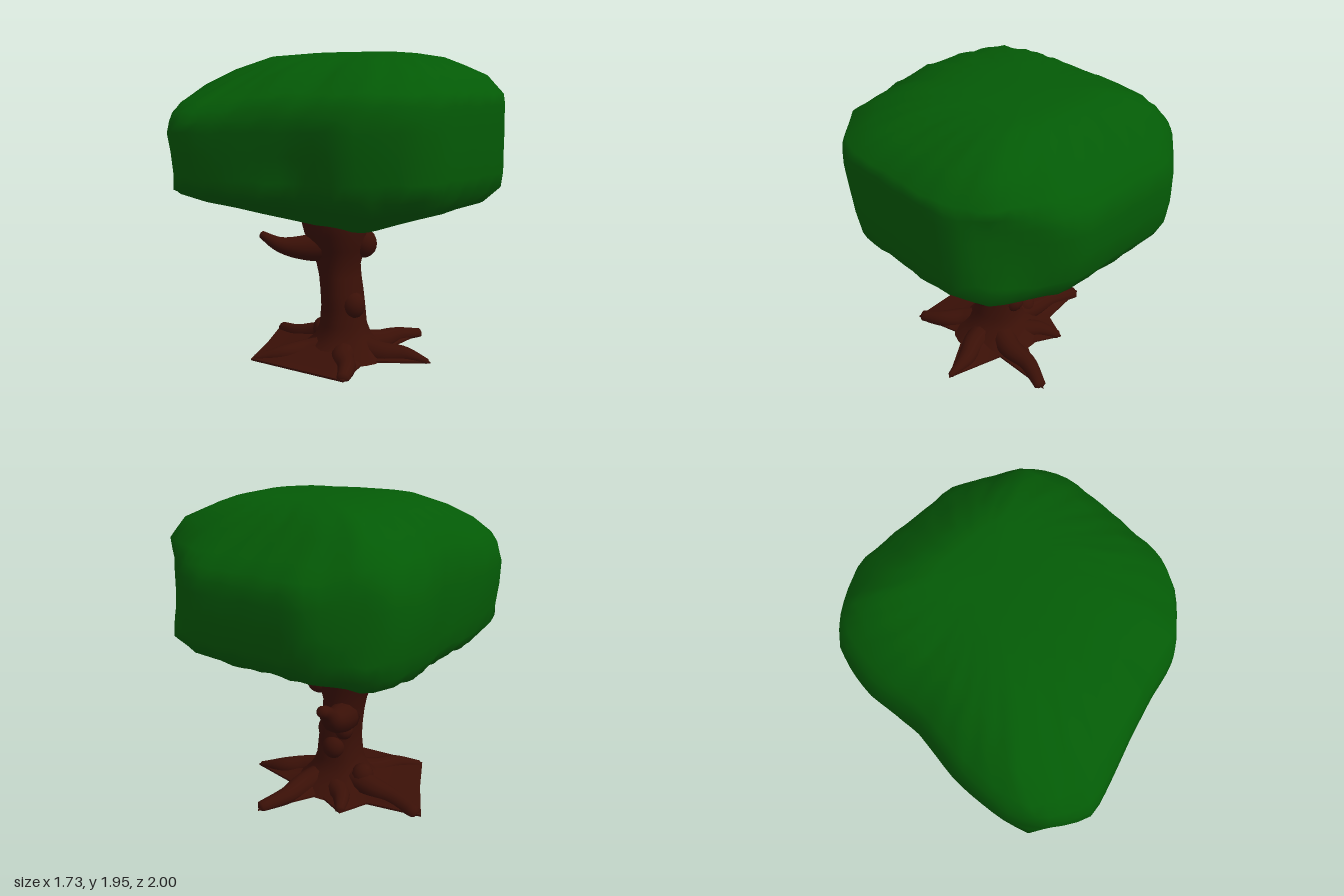
import * as THREE from 'three';
import { toCreasedNormals } from 'three/addons/utils/BufferGeometryUtils.js';

const V = (x, y, z) => new THREE.Vector3(x, y, z);
const { mapLinear, smoothstep, lerp } = THREE.MathUtils;
const leaf = new THREE.MeshStandardMaterial({ color: 0x045a06 });
const bark = new THREE.MeshStandardMaterial({ color: 0x3a1007 });

// Skin a stack of closed rings and close both ends
function loft(rings, crease) {
  const n = rings[0].length, m = rings.length, pts = rings.flat(), idx = [];
  for (let i = 0; i < m - 1; i++) {
    for (let j = 0; j < n; j++) {
      const k = (j + 1) % n, a = i * n + j, b = i * n + k;
      idx.push(a, a + n, b, b, a + n, b + n);
    }
  }
  const centre = ring => ring.reduce((s, p) => s.add(p), V(0, 0, 0)).divideScalar(n);
  const lo = pts.push(centre(rings[0])) - 1, hi = pts.push(centre(rings[m - 1])) - 1;
  for (let j = 0; j < n; j++) {
    const k = (j + 1) % n;
    idx.push(lo, j, k, hi, (m - 1) * n + k, (m - 1) * n + j);
  }
  const g = new THREE.BufferGeometry().setFromPoints(pts);
  g.setIndex(idx);
  g.computeVertexNormals();
  return crease ? toCreasedNormals(g, crease) : g;
}

// Tapering limb along a curve; anything below ground is flattened to it
function limb(points, radii, steps = 14, sides = 12) {
  const curve = new THREE.CatmullRomCurve3(points), rings = [];
  const radius = t => {
    const f = t * (radii.length - 1), i = Math.min(Math.floor(f), radii.length - 2);
    return lerp(radii[i], radii[i + 1], f - i);
  };
  for (let i = 0; i <= steps + 1; i++) {
    const t = Math.min(i / steps, 1), r = radius(t) * (i > steps ? 0.5 : 1);
    const T = curve.getTangent(t), c = curve.getPoint(t);
    if (i > steps) c.addScaledVector(T, r * 0.6);
    const u = V(0, 1, 0).cross(T).normalize(), v = u.clone().cross(T);
    rings.push(Array.from({ length: sides }, (_, j) => {
      const a = j / sides * Math.PI * 2;
      const p = c.clone().addScaledVector(u, r * Math.cos(a)).addScaledVector(v, r * Math.sin(a));
      p.y = Math.max(p.y, 0);
      return p;
    }));
  }
  return loft(rings);
}

// Crown: one plan outline fitted into a box at each height
function crownGeometry() {
  const plan = [[-0.47, -0.98], [-0.3, -1], [0, -1], [0.28, -1], [0.42, -0.94], [0.58, -0.8], [0.8, -0.6], [0.85, -0.4],
    [0.86, 0], [0.86, 0.25], [0.77, 0.46], [0.5, 0.7], [0.25, 0.77], [0, 0.85], [-0.45, 1], [-0.68, 0.88],
    [-0.81, 0.67], [-0.85, 0.35], [-0.82, -0.05], [-0.87, -0.4], [-0.81, -0.72]];
  const outline = new THREE.CatmullRomCurve3(plan.map(([x, z]) => V(x, 0, z)), true, 'catmullrom', 0.3)
    .getSpacedPoints(80).slice(0, 80);
  // y, xMin, xMax, zMin, zMax
  const levels = [[0.83, 0, 0.2, -0.15, 0.1], [0.865, -0.14, 0.3, -0.3, 0.2], [0.9, -0.3, 0.41, -0.45, 0.3],
    [0.96, -0.57, 0.58, -0.64, 0.46], [1.02, -0.78, 0.74, -0.8, 0.66], [1.1, -0.83, 0.83, -0.93, 0.9],
    [1.2, -0.85, 0.845, -0.985, 0.94], [1.34, -0.87, 0.855, -1, 0.97], [1.48, -0.865, 0.86, -1, 1],
    [1.55, -0.85, 0.86, -0.99, 0.99], [1.62, -0.83, 0.86, -0.965, 0.96], [1.69, -0.785, 0.85, -0.89, 0.87],
    [1.8, -0.68, 0.71, -0.77, 0.66], [1.87, -0.56, 0.57, -0.67, 0.5],
    [1.92, -0.42, 0.45, -0.58, 0.3], [1.945, -0.26, 0.29, -0.48, 0.05]];
  const rings = levels.map(([y, x0, x1, z0, z1], i) => outline.map((p, j) => {
    const u = mapLinear(p.x, -0.87, 0.86, -1, 1), w = p.z;
    // corners get squarer towards the top and the underside, least at the cut front left corner
    const cut = smoothstep(Math.min(u, w), 0, 0.3);
    const square = 0.55 * smoothstep(y, 1.55, 1.82) * (1 - 0.7 * cut)
      + 0.45 * (1 - smoothstep(y, 0.98, lerp(1.32, 1.1, cut)));
    const s = 1 + (1 / Math.max(Math.abs(u), Math.abs(w)) - 1) * square;
    const x = mapLinear(u * s, -1, 1, x0, x1);
    const z = mapLinear(w * s, -1, 1, z0, z1);
    // the front right corner sags, and the rim is slightly uneven
    const sag = Math.max(0, (z - x) * 0.707 - 0.45) * Math.max(0, y - 1.42) * 0.33;
    const bump = i > 2 && i < 14 ? 0.01 * Math.sin(j * 1.7 + i * 2.3) * Math.sin(j * 0.6 - i) : 0;
    return V(x, y - sag + bump, z);
  }));
  return loft(rings);
}

// Trunk: elliptical sections
function trunkGeometry() {
  // y, xMin, xMax, zMin, zMax
  const levels = [[0, -0.36, 0.28, -0.32, 0.3], [0.06, -0.29, 0.225, -0.26, 0.23], [0.12, -0.22, 0.16, -0.19, 0.17],
    [0.2, -0.185, 0.125, -0.165, 0.145], [0.32, -0.17, 0.11, -0.16, 0.14], [0.42, -0.175, 0.095, -0.16, 0.14],
    [0.52, -0.19, 0.075, -0.16, 0.135], [0.6, -0.205, 0.07, -0.16, 0.145], [0.7, -0.24, 0.1, -0.175, 0.17],
    [0.8, -0.28, 0.125, -0.2, 0.215], [0.88, -0.3, 0.13, -0.22, 0.235], [0.96, -0.3, 0.13, -0.22, 0.235]];
  return loft(levels.map(([y, x0, x1, z0, z1], i) => Array.from({ length: 28 }, (_, j) => {
    const a = j / 28 * Math.PI * 2, w = 1 + 0.02 * Math.sin(a * 5 + i * 0.4);
    return V((x0 + x1) / 2 + (x1 - x0) / 2 * w * Math.cos(a), y, (z0 + z1) / 2 + (z1 - z0) / 2 * w * Math.sin(a));
  })), 1.1);
}

// Foot: low star-shaped skirt webbing the roots together
function footGeometry() {
  const star = [[0.16, -0.65], [0.17, -0.25], [0.55, -0.16], [0.21, 0.08], [0.32, 0.44], [-0.03, 0.465],
    [-0.39, 0.49], [-0.54, 0.18], [-0.72, -0.14], [-0.36, -0.2], [-0.28, -0.39], [-0.05, -0.28]];
  const edge = star.flatMap(([x, z], i) => {
    const [nx, nz] = star[(i + 1) % star.length];
    return [0, 1, 2].map(k => V(x + (nx - x) * k / 3, 0, z + (nz - z) * k / 3));
  });
  const rings = [[1, 0], [1, 0.012], [0.75, 0.035], [0.5, 0.065], [0.3, 0.1]].map(([s, y]) =>
    edge.map(p => V(p.x * s, y, p.z * s)));
  return loft(rings, 0.7);
}

export function createModel() {
  const tree = new THREE.Group();
  tree.name = 'tree';
  const add = (name, geometry, material = bark) => {
    const mesh = new THREE.Mesh(geometry, material);
    mesh.name = name;
    tree.add(mesh);
    return mesh;
  };

  add('crown', crownGeometry(), leaf);
  add('trunk', trunkGeometry());
  add('foot', footGeometry());

  // Roots: tip x, tip z, thickness at the tip, height near the trunk
  [[0.16, -0.62, 0.04, 0.045], [0.53, -0.155, 0.018, 0.04], [0.3, 0.42, 0.04, 0.035],
    [-0.38, 0.465, 0.022, 0.035], [-0.68, -0.14, 0.045, 0.08], [-0.27, -0.37, 0.03, 0.04]].forEach(([x, z, r, h]) => {
    const at = (s, y, bend = 0) => V(x * s - z * bend, y, z * s + x * bend);
    add('root', limb([at(0.15, h), at(0.42, h * 0.8, 0.03), at(0.7, 0.03, -0.03), at(1, 0.01)],
      [0.1, 0.078, 0.058, r]));
  });

  // Branches
  add('frontBranch', limb([V(-0.06, 0.73, -0.02), V(-0.19, 0.71, 0.17), V(-0.3, 0.735, 0.3), V(-0.385, 0.805, 0.385)],
    [0.13, 0.085, 0.05, 0.024]));
  add('backBranch', limb([V(-0.1, 0.5, -0.06), V(-0.17, 0.56, -0.24), V(-0.22, 0.62, -0.39), V(-0.24, 0.7, -0.47), V(-0.25, 0.735, -0.53)],
    [0.1, 0.09, 0.06, 0.045, 0.035]));

  // Knobs: x, y, z, radius
  [[0.07, 0.34, 0.02, 0.08], [0.075, 0.73, -0.09, 0.085], [-0.06, 0.3, -0.125, 0.075],
    [-0.12, 0.42, -0.1, 0.06], [-0.24, 0.11, -0.06, 0.075]].forEach(([x, y, z, r]) => {
    const knob = add('knob', new THREE.SphereGeometry(r, 14, 10));
    knob.position.set(x, y, z);
    knob.scale.y = 1.1;
  });
  return tree;
}
